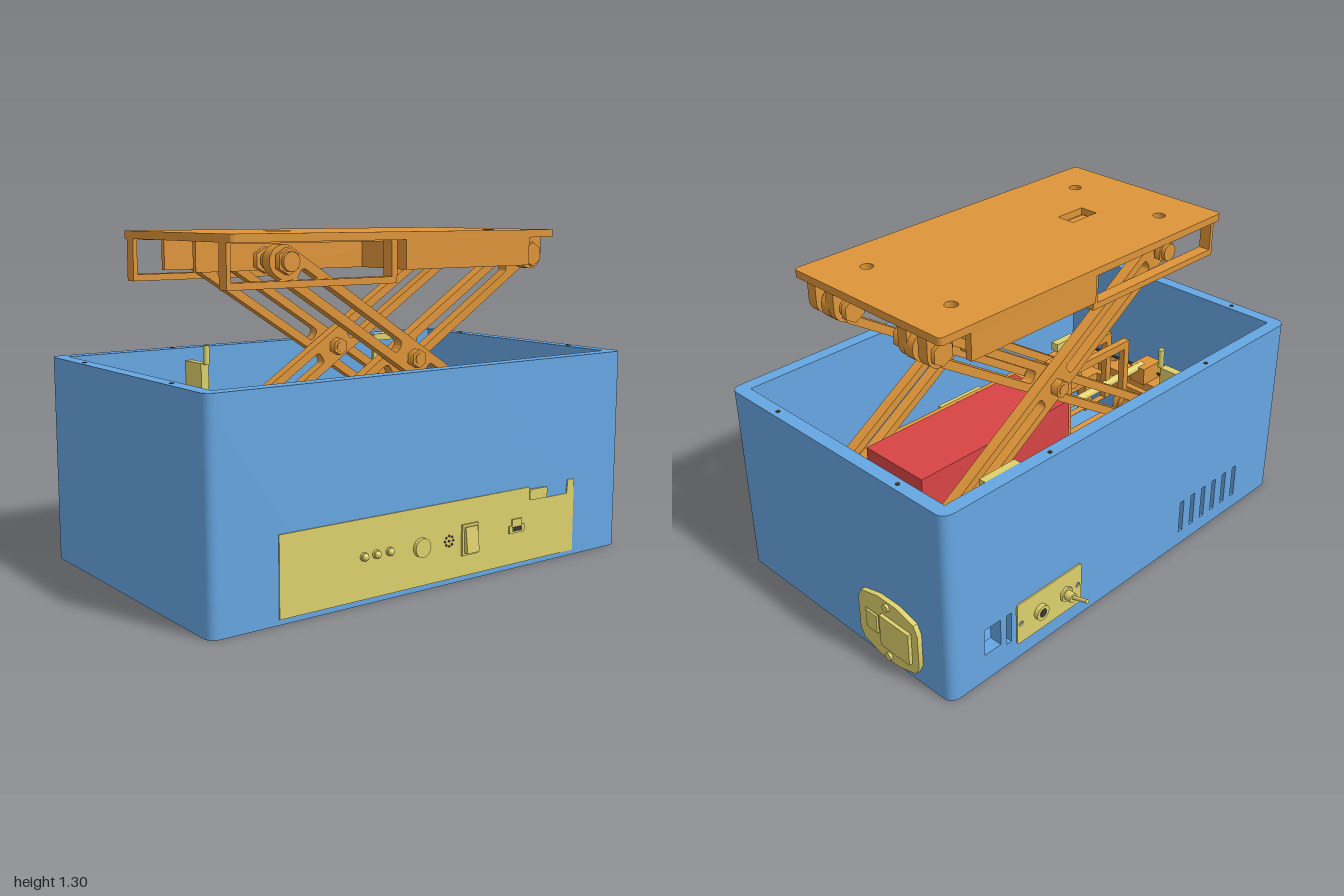
import * as THREE from 'three';
import { toCreasedNormals } from 'three/addons/utils/BufferGeometryUtils.js';

const mat = (color) => new THREE.MeshStandardMaterial({ color, side: THREE.DoubleSide });
const BLUE = mat(0x66a6e2), ORANGE = mat(0xdd9438), YELLOW = mat(0xddd06c), RED = mat(0xd84444), DARK = mat(0x3a3a30);

export function createModel() {
  const model = new THREE.Group();
  const add = (name, geo, m, x = 0, y = 0, z = 0, parent = model) => {
    const mesh = new THREE.Mesh(geo, m);
    mesh.name = name;
    mesh.position.set(x, y, z);
    parent.add(mesh);
    return mesh;
  };
  // Box given by its min and max on each axis
  const box = (name, m, x0, x1, y0, y1, z0, z1) =>
    add(name, new THREE.BoxGeometry(x1 - x0, y1 - y0, z1 - z0), m, (x0 + x1) / 2, (y0 + y1) / 2, (z0 + z1) / 2);
  // Cylinder lying along x, y or z
  const rod = (name, m, axis, r, len, x, y, z, sides = 20) => {
    const g = new THREE.CylinderGeometry(r, r, len, sides);
    if (axis === 'z') g.rotateX(Math.PI / 2);
    if (axis === 'x') g.rotateZ(Math.PI / 2);
    return add(name, sides === 6 ? g.toNonIndexed() : g, m, x, y, z);
  };
  const trace = (p, x0, x1, y0, y1, r = 0) => {
    p.moveTo(x0 + r, y0);
    p.lineTo(x1 - r, y0); if (r) p.quadraticCurveTo(x1, y0, x1, y0 + r);
    p.lineTo(x1, y1 - r); if (r) p.quadraticCurveTo(x1, y1, x1 - r, y1);
    p.lineTo(x0 + r, y1); if (r) p.quadraticCurveTo(x0, y1, x0, y1 - r);
    p.lineTo(x0, y0 + r); if (r) p.quadraticCurveTo(x0, y0, x0 + r, y0);
    return p;
  };
  const rect = (...a) => trace(new THREE.Shape(), ...a);
  const hole = (s, ...a) => s.holes.push(trace(new THREE.Path(), ...a));
  const roundHole = (s, x, y, r) => s.holes.push(new THREE.Path().absarc(x, y, r, 0, Math.PI * 2, true));
  const extrude = (s, depth) =>
    toCreasedNormals(new THREE.ExtrudeGeometry(s, { depth, bevelEnabled: false, curveSegments: 8 }), 0.6);
  // Horizontal plate: the shape is drawn in x and z, y is its top
  const plate = (name, m, s, top, thick) => add(name, extrude(s, thick).rotateX(Math.PI / 2), m, 0, top, 0);

  // Housing: three walls in one piece, slotted back wall, vented floor
  const u = new THREE.Shape();
  u.moveTo(-0.945, -0.56); u.quadraticCurveTo(-1, -0.56, -1, -0.515);
  u.lineTo(-1, 0.605); u.quadraticCurveTo(-1, 0.65, -0.955, 0.65);
  u.lineTo(0.915, 0.65); u.quadraticCurveTo(0.96, 0.65, 0.96, 0.605);
  u.lineTo(0.96, -0.515); u.quadraticCurveTo(0.96, -0.56, 0.905, -0.56);
  u.lineTo(0.905, 0.595); u.lineTo(-0.945, 0.595);
  plate('housingWalls', BLUE, u, 0.813, 0.813);
  const back = rect(-0.945, 0.905, 0, 0.813);
  for (let i = 0; i < 6; i++) hole(back, -0.73 + i * 0.073, -0.705 + i * 0.073, 0.065, 0.215);
  hole(back, 0.71, 0.79, 0.12, 0.235);
  hole(back, 0.655, 0.68, 0.1, 0.235);
  add('backWall', extrude(back, 0.055), BLUE, 0, 0, -0.56);
  const floor = rect(-0.945, 0.905, -0.505, 0.595);
  for (let i = 0; i < 6; i++) hole(floor, -0.36, -0.18, 0.2 + i * 0.035, 0.215 + i * 0.035);
  for (let i = 0; i < 9; i++) hole(floor, 0.73, 0.82, -0.03 + i * 0.06, -0.01 + i * 0.06);
  plate('floor', BLUE, floor, 0.03, 0.03);
  for (const x of [-0.92, 0.88]) for (const z of [-0.485, 0.565]) rod('cornerScrew', BLUE, 'y', 0.022, 0.03, x, 0.045, z);
  for (const z of [-0.3, 0.38]) for (const x of [-0.973, 0.932]) rod('rimScrew', DARK, 'y', 0.009, 0.004, x, 0.813, z, 10);
  for (const x of [-0.475, 0.43]) rod('rimScrew', DARK, 'y', 0.009, 0.004, x, 0.813, -0.533, 10);

  // Front control panel with notched corner
  const panel = new THREE.Shape();
  [[-0.73, 0.02], [0.69, 0.02], [0.69, 0.315], [0.655, 0.315], [0.65, 0.26], [0.535, 0.26], [0.53, 0.305], [0.44, 0.305], [0.44, 0.315], [-0.73, 0.315]]
    .forEach(([x, y], i) => (i ? panel.lineTo(x, y) : panel.moveTo(x, y)));
  add('controlPanel', extrude(panel, 0.006), YELLOW, 0, 0, 0.648);
  add('panelTab', extrude(rect(0.44, 0.535, 0.262, 0.305, 0.01), 0.008), YELLOW, 0, 0, 0.65);
  for (const x of [-0.375, -0.32, -0.26]) {
    rod('indicatorLight', YELLOW, 'z', 0.016, 0.014, x, 0.178, 0.658);
    add('lightDome', new THREE.SphereGeometry(0.014, 12, 8), YELLOW, x, 0.178, 0.664);
  }
  rod('pushButton', YELLOW, 'z', 0.036, 0.02, -0.112, 0.167, 0.66);
  for (let i = 0; i < 9; i++) {
    const a = (i * Math.PI) / 4, r = i < 8 ? 0.02 : 0;
    rod('soundHole', DARK, 'z', 0.005, 0.002, 0.025 + r * Math.cos(a), 0.167 + r * Math.sin(a), 0.655, 8);
  }
  box('rockerFrame', YELLOW, 0.085, 0.165, 0.1, 0.22, 0.65, 0.662);
  box('rockerSwitch', YELLOW, 0.095, 0.155, 0.11, 0.21, 0.655, 0.675).rotation.x = -0.12;
  box('panelSocket', YELLOW, 0.33, 0.41, 0.145, 0.175, 0.65, 0.66);
  box('panelSocketTop', YELLOW, 0.345, 0.395, 0.175, 0.2, 0.65, 0.66);
  box('socketOpening', DARK, 0.345, 0.395, 0.152, 0.17, 0.655, 0.662);

  // Power inlet on the left side
  const inlet = new THREE.Shape();
  [[0.085, 0.09], [0.105, 0.05], [0.2, 0.022], [0.3, 0.022], [0.395, 0.05], [0.415, 0.09], [0.415, 0.235], [0.395, 0.275], [0.3, 0.3], [0.2, 0.3], [0.105, 0.275], [0.085, 0.235]]
    .forEach(([z, y], i) => (i ? inlet.lineTo(z, y) : inlet.moveTo(z, y)));
  hole(inlet, 0.125, 0.195, 0.115, 0.205);
  add('inletPlate', extrude(inlet, 0.022).rotateY(Math.PI / 2), YELLOW, 0.958, 0, 0);
  box('inletRocker', YELLOW, 0.955, 0.985, 0.12, 0.2, -0.19, -0.13);
  for (const y of [0.045, 0.275]) rod('inletScrew', YELLOW, 'x', 0.016, 0.012, 0.984, y, -0.25);
  box('inletRim', YELLOW, 0.975, 0.995, 0.09, 0.23, -0.38, -0.22);

  // Rear connector plate with a knob and a toggle
  const rear = rect(0.28, 0.63, 0.07, 0.255, 0.015);
  for (const x of [0.3, 0.61]) roundHole(rear, x, 0.16, 0.011);
  add('rearPlate', extrude(rear, 0.008), YELLOW, 0, 0, -0.566);
  rod('rearConnector', YELLOW, 'z', 0.032, 0.02, 0.51, 0.16, -0.574);
  rod('rearConnectorCore', DARK, 'z', 0.018, 0.004, 0.51, 0.16, -0.584);
  rod('toggleNut', YELLOW, 'z', 0.032, 0.015, 0.37, 0.16, -0.57, 6);
  rod('toggleCollar', YELLOW, 'z', 0.02, 0.035, 0.37, 0.16, -0.59);
  rod('toggleLever', YELLOW, 'z', 0.008, 0.085, 0.37, 0.173, -0.636).rotation.x = 0.3;

  // Table top with corner holes and a small window
  const top = rect(-0.785, 0.745, -0.332, 0.46, 0.02);
  for (const x of [-0.59, 0.545]) for (const z of [-0.17, 0.285]) roundHole(top, x, z, 0.026);
  hole(top, -0.435, -0.295, 0.03, 0.11);
  plate('tableTop', ORANGE, top, 1.305, 0.03);
  box('windowSocket', ORANGE, -0.42, -0.31, 1.25, 1.285, 0.05, 0.09);
  for (const z of [0.17, -0.06]) box('innerRail', ORANGE, -0.765, 0.605, 1.165, 1.276, z, z + 0.02);
  for (const z of [0.43, -0.33]) box('edgeSkirt', ORANGE, 0, 0.605, 1.165, 1.276, z, z + 0.028);
  box('crossWall', ORANGE, -0.03, 0, 1.165, 1.276, -0.33, 0.458);
  for (const z of [0.38, -0.3]) {
    const guide = rect(-0.785, -0.05, 1.115, 1.276);
    hole(guide, -0.768, -0.075, 1.14, 1.27);
    add('slideGuide', extrude(guide, 0.05), ORANGE, 0, 0, z);
  }

  // Scissor arms, with slots either side of the pivot
  const CX = 0.085, CY = 0.82, DX = 0.598, DY = 0.385, HALF = Math.hypot(DX, DY);
  const arm = new THREE.Shape();
  arm.absarc(HALF, 0, 0.06, -Math.PI / 2, Math.PI / 2, false);
  arm.absarc(-HALF, 0, 0.06, Math.PI / 2, Math.PI * 1.5, false);
  for (const [a, b] of [[-0.63, -0.08], [0.08, 0.63]]) hole(arm, a, b, -0.026, 0.026, 0.02);
  const armGeo = extrude(arm, 0.046).translate(0, 0, -0.023);
  for (const [z, dir, side] of [[0.345, -1, 1], [0.29, 1, 1], [-0.165, 1, -1], [-0.217, -1, -1]]) {
    add('scissorArm', armGeo, ORANGE, CX, CY, z).rotation.z = dir * Math.atan2(DY, DX);
    const outer = dir < 0;
    for (const s of [-1, 1]) {
      const x = CX + s * DX, y = CY + s * dir * DY;
      rod('armPin', ORANGE, 'z', 0.035, 0.15, x, y, z);
      rod('armNut', ORANGE, 'z', 0.048, 0.025, x, y, z + side * (outer ? 0.045 : 0.1), 6);
      rod('armNut', ORANGE, 'z', 0.048, 0.025, x, y, z - side * (outer ? 0.1 : 0.085), 6);
    }
  }
  for (const [z, s] of [[0.317, 1], [-0.19, -1]]) {
    rod('pivotPin', ORANGE, 'z', 0.02, 0.18, CX, CY, z);
    for (const o of [-0.07, 0.07]) rod('pivotNut', ORANGE, 'z', 0.036, 0.034, CX, CY, z + o, 6);
    // Hinge lugs under the table
    for (const o of [-0.078, 0.025]) {
      const lug = new THREE.Shape();
      lug.absarc(CX + DX, 1.205, 0.058, Math.PI, Math.PI * 2, false);
      lug.lineTo(0.741, 1.276); lug.lineTo(0.625, 1.276);
      add('hingeLug', extrude(lug, 0.046), ORANGE, 0, 0, z + (s > 0 ? o : -o - 0.046));
    }
  }

  // Base frame inside the housing, on legs
  const base = rect(-0.91, 0.85, -0.325, 0.53, 0.01);
  hole(base, -0.72, 0.68, -0.1, 0.24);
  hole(base, -0.8, -0.75, -0.2, 0.3);
  hole(base, 0.29, 0.335, 0.45, 0.525);
  hole(base, 0.39, 0.5, 0.46, 0.505);
  hole(base, 0.53, 0.68, 0.46, 0.505);
  for (const x of [-0.87, -0.65, -0.36, -0.2, -0.08, 0.26, 0.5, 0.68]) roundHole(base, x, 0.495, 0.016);
  for (const z of [-0.19, -0.075, 0.15, 0.27]) roundHole(base, -0.875, z, 0.016);
  plate('baseFrame', ORANGE, base, 0.37, 0.04);
  for (const x of [-0.9, 0.79]) for (const z of [-0.32, 0.42]) box('baseLeg', ORANGE, x, x + 0.05, 0.03, 0.33, z, z + 0.05);
  for (const z of [-0.28, -0.06, 0.14]) {
    box('baseBlock', ORANGE, 0.75, 0.845, 0.37, 0.5, z, z + 0.12);
    rod('blockScrew', DARK, 'y', 0.016, 0.004, 0.77, 0.502, z + 0.06);
  }
  box('endClevis', ORANGE, -0.9, -0.78, 0.37, 0.45, 0.01, 0.09);
  for (const z of [0.02, 0.12]) {
    const arch = rect(-0.6, -0.2, 0.37, 0.69);
    hole(arch, -0.57, -0.23, 0.372, 0.655);
    add('archBracket', extrude(arch, 0.03), ORANGE, 0, 0, z - 0.06);
  }
  box('powerPack', RED, -0.15, 0.66, 0.33, 0.6, -0.1, 0.22);
  rod('driveScrew', YELLOW, 'x', 0.018, 0.75, -0.45, 0.44, 0.06);

  // Sensor brackets near the rim
  const bracket = (x0, x1, y0, y1, z) => {
    const s = rect(x0, x1, y0, y1);
    hole(s, x0 + 0.03, x1 - 0.03, y0 + 0.03, y1 - 0.03);
    add('sensorBracket', extrude(s, 0.015), YELLOW, 0, 0, z);
    box('bracketLip', YELLOW, x0, x1, y1 - 0.015, y1, z - 0.03, z);
  };
  bracket(0.55, 0.72, 0.64, 0.813, -0.49);
  const ringPlate = (x0, x1, z0, z1, y) => {
    const s = rect(x0, x1, z0, z1);
    hole(s, x0 + 0.035, x1 - 0.035, z0 + 0.02, z1 - 0.02);
    plate('sensorPlate', YELLOW, s, y, 0.015);
  };
  ringPlate(0.15, 0.35, -0.51, -0.43, 0.4);
  ringPlate(0.55, 0.7, -0.5, -0.43, 0.5);
  box('sensorArm', YELLOW, -0.44, -0.28, 0.56, 0.58, -0.508, -0.49);
  box('sensorPost', YELLOW, -0.43, -0.395, 0.37, 0.76, -0.5, -0.37);
  rod('sensorTip', YELLOW, 'y', 0.012, 0.08, -0.41, 0.795, -0.36);
  box('cornerPlate', YELLOW, -0.945, -0.72, 0.3, 0.32, 0.43, 0.56);
  box('cornerConnector', YELLOW, -0.87, -0.74, 0.37, 0.41, 0.51, 0.55);
  box('frontConnector', YELLOW, -0.26, -0.01, 0.33, 0.36, 0.51, 0.56);
  for (const [x, z] of [[-0.83, -0.27], [0.78, -0.3]]) box('cornerClip', YELLOW, x - 0.03, x + 0.05, 0.37, 0.39, z, z + 0.06);

  // Cables
  const cable = (...p) => add('cable', new THREE.TubeGeometry(
    new THREE.CatmullRomCurve3(p.map((q) => new THREE.Vector3(...q)), false, 'catmullrom', 0.2), 40, 0.006, 6), DARK);
  cable([-0.88, 0.38, 0.4], [-0.88, 0.4, -0.36], [-0.84, 0.4, -0.39], [0, 0.4, -0.39], [0.8, 0.4, -0.385], [0.86, 0.4, -0.34], [0.85, 0.4, 0.25], [0.76, 0.4, 0.34]);
  cable([-0.34, 0.57, -0.49], [-0.22, 0.5, -0.42], [0.2, 0.42, -0.4]);
  cable([0.63, 0.66, -0.48], [0.7, 0.55, -0.42], [0.8, 0.42, -0.32]);
  return model;
}
